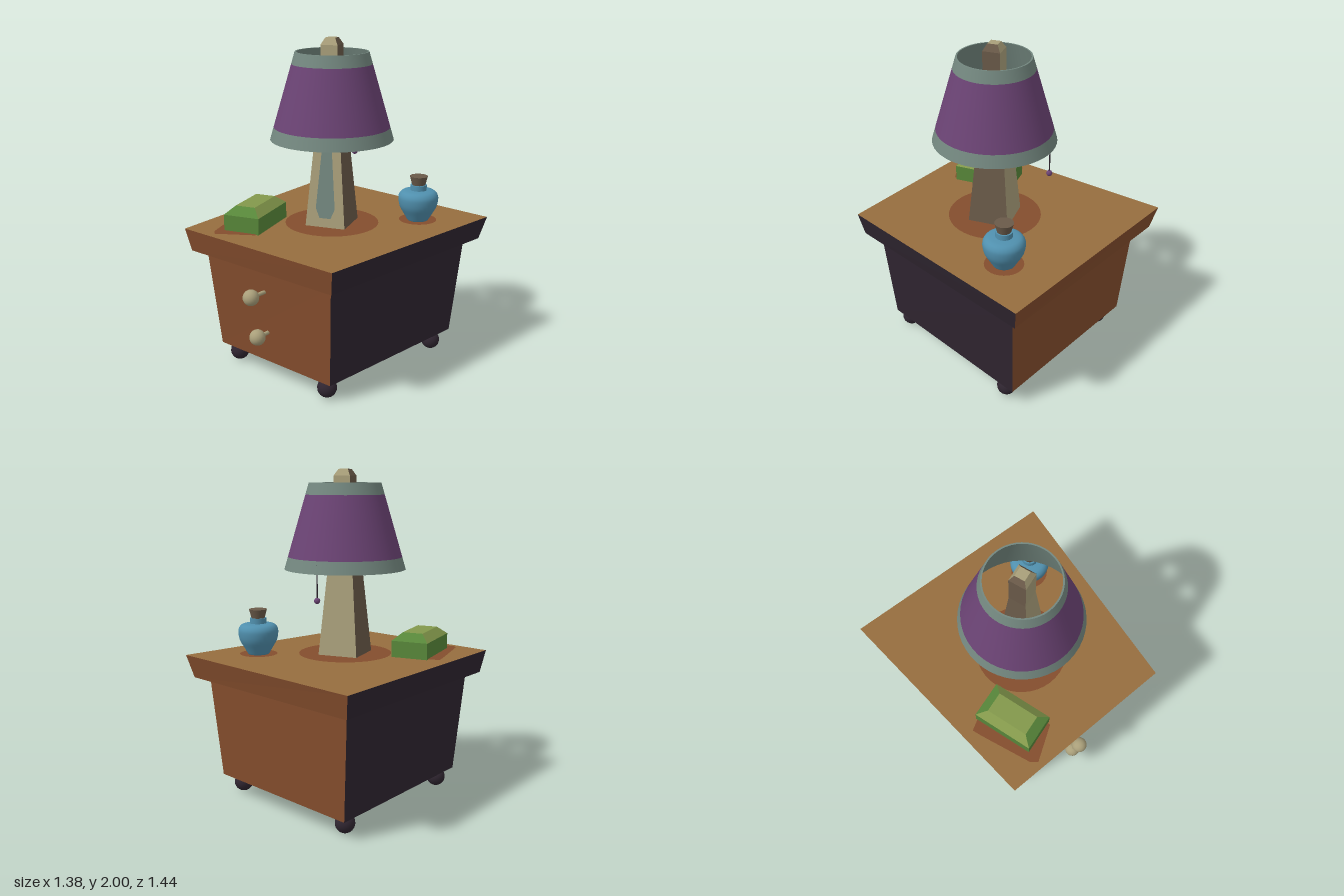
import * as THREE from 'three';

const mat = (name, color, side = THREE.FrontSide) => {
  const m = new THREE.MeshStandardMaterial({ color, side });
  m.name = name;
  return m;
};

export function createModel() {
  const model = new THREE.Group();
  model.name = 'nightstand';
  const tan = mat('tan wood', 0x966d3e);
  const brown = mat('red brown wood', 0x844d2d);
  const dark = mat('dark plum wood', 0x2f2530);
  const purple = mat('purple cloth', 0x6b4374);
  const sage = mat('sage trim', 0x73877f, THREE.DoubleSide);
  const beige = mat('beige', 0xa99f7a);
  const taupe = mat('taupe', 0x6a5a49);
  const green = mat('green', 0x58873a);
  const olive = mat('olive', 0x83984b);
  const blue = mat('blue glaze', 0x5090ae);

  const add = (parent, name, geo, material, x = 0, y = 0, z = 0) => {
    const m = new THREE.Mesh(geo, material);
    m.name = name;
    m.position.set(x, y, z);
    parent.add(m);
    return m;
  };

  // Four-sided loft. Loops run back -x, back +x, front +x, front -x.
  // pick(level, side) gives the material index of each side face.
  const loft = (loops, pick, bottom, top) => {
    const pos = [], geo = new THREE.BufferGeometry();
    const face = (pts, index) => {
      geo.addGroup(pos.length / 3, pts.length, index);
      pts.forEach(p => pos.push(...p));
    };
    for (let l = 0; l < loops.length - 1; l++) {
      for (let i = 0; i < 4; i++) {
        const j = (i + 1) % 4, [lo, hi] = [loops[l], loops[l + 1]];
        face([lo[j], lo[i], hi[i], lo[j], hi[i], hi[j]], pick(l, i));
      }
    }
    const a = loops[0], b = loops[loops.length - 1];
    face([a[0], a[1], a[2], a[0], a[2], a[3]], bottom);
    face([b[3], b[2], b[1], b[3], b[1], b[0]], top);
    geo.setAttribute('position', new THREE.Float32BufferAttribute(pos, 3));
    geo.computeVertexNormals();
    return geo;
  };
  const loop = (y, corners) => corners.map(([x, z]) => [x, y, z]);
  const rect = (y, hx, hz) => loop(y, [[-hx, -hz], [hx, -hz], [hx, hz], [-hx, hz]]);

  // Crooked cabinet with its overhanging top
  add(model, 'cabinet', loft([
    loop(0.115, [[-0.537, -0.575], [0.535, -0.55], [0.44, 0.52], [-0.437, 0.54]]),
    loop(0.74, [[-0.59, -0.61], [0.59, -0.59], [0.485, 0.565], [-0.48, 0.595]]),
    loop(0.74, [[-0.66, -0.685], [0.655, -0.66], [0.552, 0.637], [-0.537, 0.667]]),
    loop(0.88, [[-0.695, -0.716], [0.69, -0.693], [0.577, 0.663], [-0.562, 0.693]]),
  ], (l, i) => i % 2, 1, 2), [brown, dark, tan]);

  // Ball feet
  [[-0.447, -0.474], [0.463, -0.447], [0.368, 0.463], [-0.362, 0.463]].forEach(([x, z]) =>
    add(model, 'foot', new THREE.SphereGeometry(0.058, 20, 14), dark, x, 0.058, z));

  // Drawer knobs on short stems
  [[0.577, 0.675], [0.312, 0.632]].forEach(([y, z]) => {
    add(model, 'knob', new THREE.SphereGeometry(0.048, 20, 14), beige, -0.024, y, z);
    add(model, 'knobStem', new THREE.CylinderGeometry(0.012, 0.012, 0.12, 10), beige, -0.024, y, z - 0.07)
      .rotation.x = Math.PI / 2;
  });

  // Red brown patches on the table top
  const patch = (name, geo, x, z) =>
    add(model, name, geo, brown, x, 0.884, z).rotation.x = -Math.PI / 2;
  patch('lampPatch', new THREE.CircleGeometry(0.285, 40), 0.022, 0.02);
  patch('vasePatch', new THREE.CircleGeometry(0.115, 28), 0.392, -0.364);
  patch('boxPatch', new THREE.ShapeGeometry(new THREE.Shape([
    [-0.475, -0.215], [-0.536, -0.25], [-0.515, -0.307], [-0.384, -0.617],
    [-0.346, -0.647], [-0.145, -0.512], [-0.26, -0.2],
  ].map(p => new THREE.Vector2(...p)))), 0, 0);

  // Bevelled box
  const box = add(model, 'bevelledBox', loft([
    rect(0, 0.114, 0.19), rect(0.1, 0.114, 0.19), rect(0.147, 0.063, 0.133),
  ], (l, i) => (l === 1 && i % 2 ? 1 : 0), 0, 1), [green, olive], -0.306, 0.88, 0.348);
  box.rotation.y = 0.325;

  // Lamp: tapered post with a chamfered finial, turned on the table
  const lamp = new THREE.Group();
  lamp.name = 'lamp';
  lamp.position.set(0.022, 0.88, 0.02);
  model.add(lamp);
  const post = add(lamp, 'lampPost', loft(
    [[0, 0.125], [0.86, 0.0525], [1.08, 0.0525], [1.12, 0.03]].map(([y, h]) => rect(y, h, h)),
    (l, i) => i % 2, 0, 0), [beige, taupe]);
  post.rotation.y = 0.364;
  const panel = add(post, 'lampPanel', new THREE.ShapeGeometry(new THREE.Shape([
    [-0.035, 0.06], [0.035, 0.06], [0.06, 0.12], [0.03, 0.49], [-0.03, 0.49], [-0.06, 0.12],
  ].map(p => new THREE.Vector2(...p)))), sage, 0, 0, 0.128);
  panel.rotation.x = -0.084;

  // Conical shade with trim bands and a plain lining
  const radius = y => 0.368 - (y - 1.405) * (0.151 / 0.515);
  const band = (name, y0, y1, material, inset = 0) =>
    add(lamp, name, new THREE.CylinderGeometry(radius(y1) - inset, radius(y0) - inset, y1 - y0, 48, 1, true),
      material, 0, (y0 + y1) / 2 - 0.88, 0);
  band('shadeBottomTrim', 1.405, 1.48, sage);
  band('shadeCloth', 1.48, 1.85, purple);
  band('shadeTopTrim', 1.85, 1.92, sage);
  band('shadeLining', 1.405, 1.92, sage, 0.009);
  [1.405, 1.92].forEach(y => {
    const r = radius(y);
    add(lamp, 'shadeRim', new THREE.RingGeometry(r - 0.009, r, 48), sage, 0, y - 0.88, 0)
      .rotation.x = y > 1.5 ? -Math.PI / 2 : Math.PI / 2;
  });

  // Pull cord
  add(model, 'pullCord', new THREE.CylinderGeometry(0.004, 0.004, 0.2, 6), dark, -0.075, 1.36, -0.315);
  add(model, 'pullBead', new THREE.SphereGeometry(0.018, 14, 10), purple, -0.075, 1.252, -0.315);

  // Vase with a stopper
  const belly = new THREE.SplineCurve([
    [0.062, 0.0], [0.088, 0.045], [0.113, 0.09], [0.122, 0.135], [0.118, 0.165], [0.095, 0.188], [0.045, 0.194],
  ].map(p => new THREE.Vector2(...p))).getPoints(18);
  add(model, 'vase', new THREE.LatheGeometry([new THREE.Vector2(0, 0), ...belly], 32), blue, 0.392, 0.88, -0.364);
  add(model, 'vaseNeck', new THREE.CylinderGeometry(0.05, 0.05, 0.036, 24), blue, 0.392, 1.088, -0.364);
  add(model, 'stopper', new THREE.CylinderGeometry(0.055, 0.04, 0.056, 24), taupe, 0.392, 1.132, -0.364);

  return model;
}
